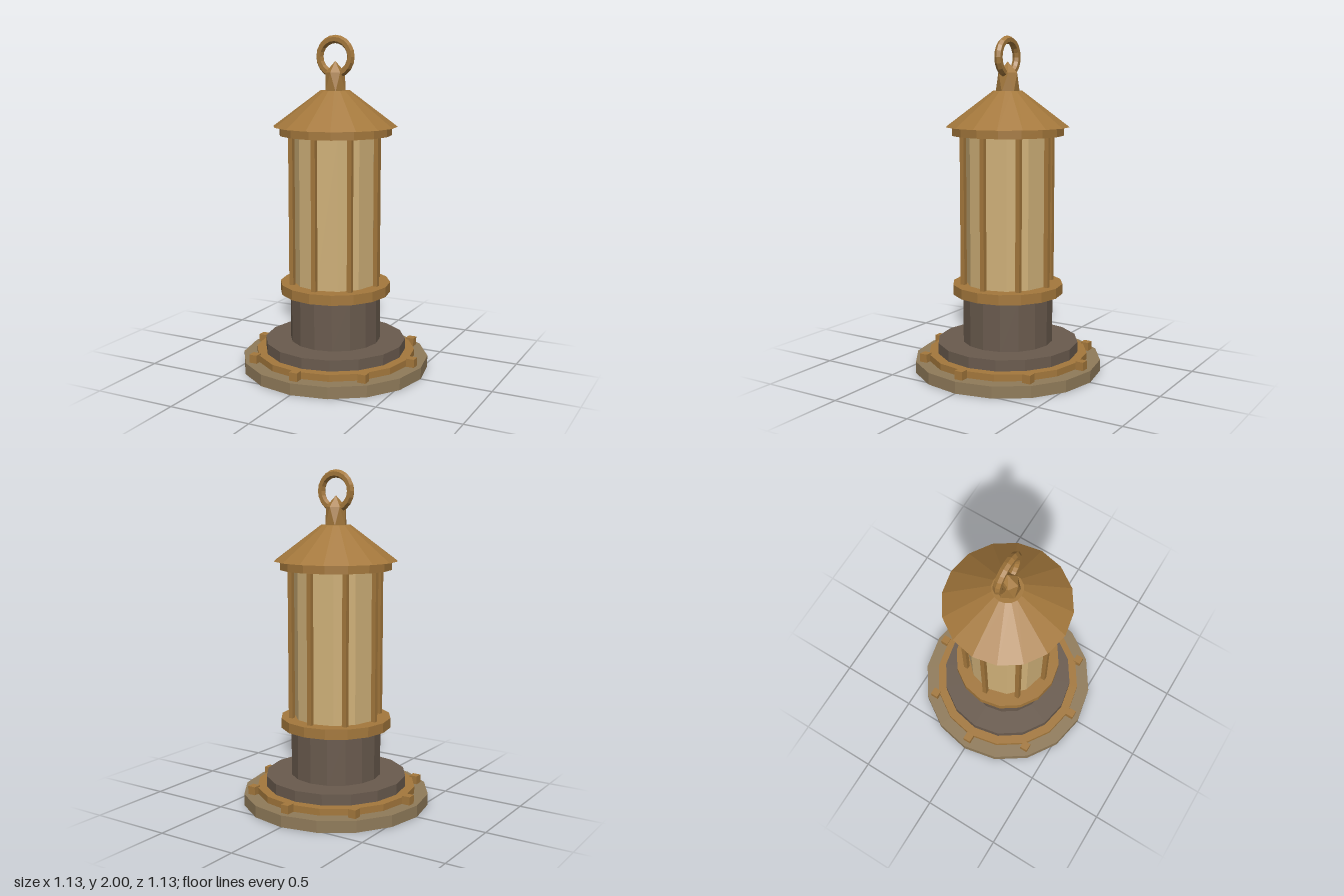
import * as THREE from 'three';
import { ConvexGeometry } from 'three/addons/geometries/ConvexGeometry.js';

export function createModel() {
  const model = new THREE.Group();
  model.name = 'lantern';

  const material = (name, color) => {
    const m = new THREE.MeshStandardMaterial({ color, flatShading: true });
    m.name = name;
    return m;
  };
  const brass = material('brass', 0xa4783c);
  const darkStone = material('darkStone', 0x6a5b4e);
  const paleStone = material('paleStone', 0x907b5a);
  const glass = material('glass', 0xcfb078);

  const add = (name, geometry, mat, x = 0, y = 0, z = 0) => {
    const mesh = new THREE.Mesh(geometry, mat);
    mesh.name = name;
    mesh.position.set(x, y, z);
    model.add(mesh);
    return mesh;
  };
  // Faceted drum between two heights
  const drum = (name, mat, rTop, rBottom, y0, y1, sides = 16) =>
    add(name, new THREE.CylinderGeometry(rTop, rBottom, y1 - y0, sides), mat, 0, (y0 + y1) / 2, 0);

  // Stepped foot
  drum('base', paleStone, 0.565, 0.565, 0, 0.07);
  drum('baseBand', brass, 0.483, 0.483, 0.07, 0.11);
  drum('plinth', darkStone, 0.427, 0.427, 0.07, 0.175);
  drum('column', darkStone, 0.273, 0.273, 0.17, 0.475);

  // Lamp body
  drum('lowerRim', brass, 0.333, 0.333, 0.47, 0.53);
  drum('glassTube', glass, 0.25, 0.25, 0.53, 1.42, 12);
  drum('upperRim', brass, 0.333, 0.333, 1.42, 1.475);
  drum('roof', brass, 0.088, 0.368, 1.47, 1.68);

  // Guard bars and base studs, eight of each
  const bar = new THREE.BoxGeometry(0.027, 0.9, 0.027);
  const stud = new THREE.BoxGeometry(0.05, 0.05, 0.05);
  for (let i = 0; i < 8; i++) {
    const a = (i / 8) * Math.PI * 2;
    const s = Math.sin(a), c = Math.cos(a);
    add('guardBar', bar, brass, s * 0.27, 0.975, c * 0.27);
    add('baseStud', stud, brass, s * 0.505, 0.095, c * 0.505);
  }

  // Faceted finial: two staggered rings and a tip
  const points = [new THREE.Vector3(0, 1.85, 0)];
  for (let i = 0; i < 6; i++) {
    const a = (i / 6) * Math.PI * 2;
    points.push(new THREE.Vector3(Math.sin(a) * 0.055, 1.785, Math.cos(a) * 0.065));
    points.push(new THREE.Vector3(Math.cos(a) * 0.066, 1.675, Math.sin(a) * 0.072));
  }
  add('finial', new ConvexGeometry(points), brass);

  // Carrying ring
  add('hangingRing', new THREE.TorusGeometry(0.101, 0.024, 6, 20), brass, 0, 1.875, 0);

  return model;
}
